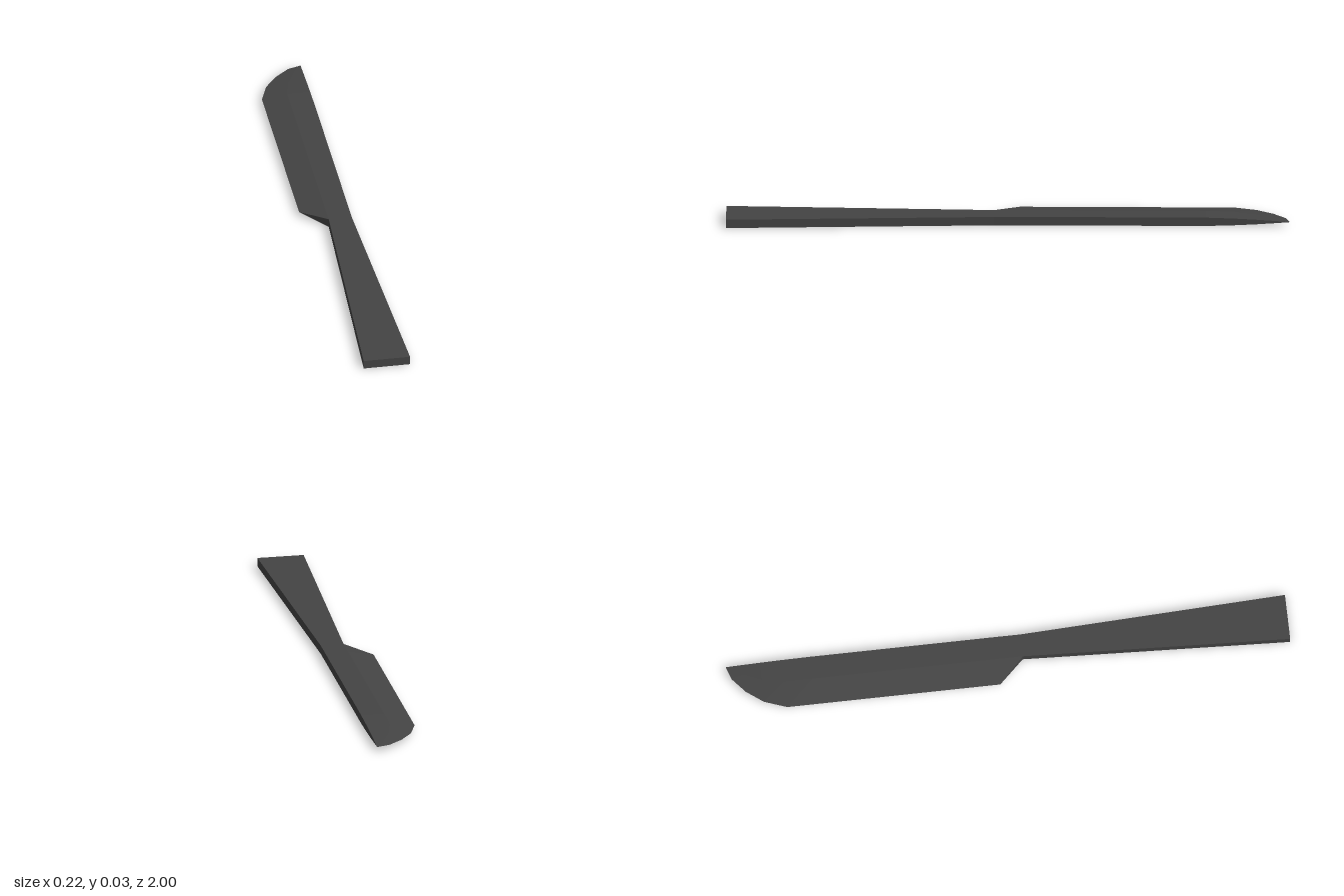
import * as THREE from 'three';

// Cross-section, counter-clockwise seen from the front.
// spine: x of the back, ridge: x where the bevel starts, edge: x of the cutting side,
// mid: centre height, h: half thickness at the spine, e: half thickness at the edge
function section({ z, spine, ridge, edge, mid, h, e }) {
  return [
    [spine, mid - h, z], [spine, mid + h, z],
    [ridge, mid + h, z], [edge, mid + e, z],
    [edge, mid - e, z], [ridge, mid - h, z],
  ].map((p) => new THREE.Vector3(...p));
}

// Flat-faced loft through sections running from front to back
function loft(sections, capFront) {
  const rings = sections.map(section);
  const points = [];
  const tri = (a, b, c) => {
    if (new THREE.Triangle(a, b, c).getArea() > 1e-8) points.push(a, b, c);
  };
  for (let k = 0; k < rings.length - 1; k++) {
    const a = rings[k], b = rings[k + 1];
    for (let i = 0; i < a.length; i++) {
      const j = (i + 1) % a.length;
      tri(a[i], b[i], b[j]);
      tri(a[i], b[j], a[j]);
    }
  }
  if (capFront) for (let i = 1; i < 5; i++) tri(rings[0][0], rings[0][i], rings[0][i + 1]);
  const geometry = new THREE.BufferGeometry().setFromPoints(points);
  geometry.computeVertexNormals();
  return geometry;
}

export function createModel() {
  const model = new THREE.Group();
  model.name = 'knife';
  const darkGrey = new THREE.MeshStandardMaterial({ color: 0x444444 });
  darkGrey.name = 'darkGrey';

  const add = (name, geometry) => {
    const mesh = new THREE.Mesh(geometry, darkGrey);
    mesh.name = name;
    model.add(mesh);
  };

  // Handle, flaring from the neck to the butt
  const neck = { z: 0.05, spine: 0.065, ridge: -0.018, edge: -0.018, mid: 0.0165, h: 0.0155, e: 0.0155 };
  const butt = { z: 1, spine: 0.108, ridge: -0.059, edge: -0.059, mid: 0.0155, h: 0.0155, e: 0.0155 };
  add('handle', loft([butt, neck], true));

  // Blade: angled heel, straight bevelled edge, curved belly rising to the tip
  // each row: z, edge x, ridge x, half thickness
  const blade = [
    [-0.04, -0.109, -0.018, 0.0155],
    [-0.70, -0.109, -0.018, 0.0155],
    [-0.80, -0.109, -0.018, 0.0125],
    [-0.88, -0.080, 0.000, 0.0085],
    [-0.94, -0.035, 0.028, 0.0045],
    [-0.985, 0.018, 0.050, 0.0012],
    [-1, 0.065, 0.065, 0],
  ].map(([z, edge, ridge, h]) => ({ z, spine: 0.065, ridge, edge, mid: 0.017, h, e: 0 }));
  add('blade', loft([neck, ...blade], false));

  return model;
}
